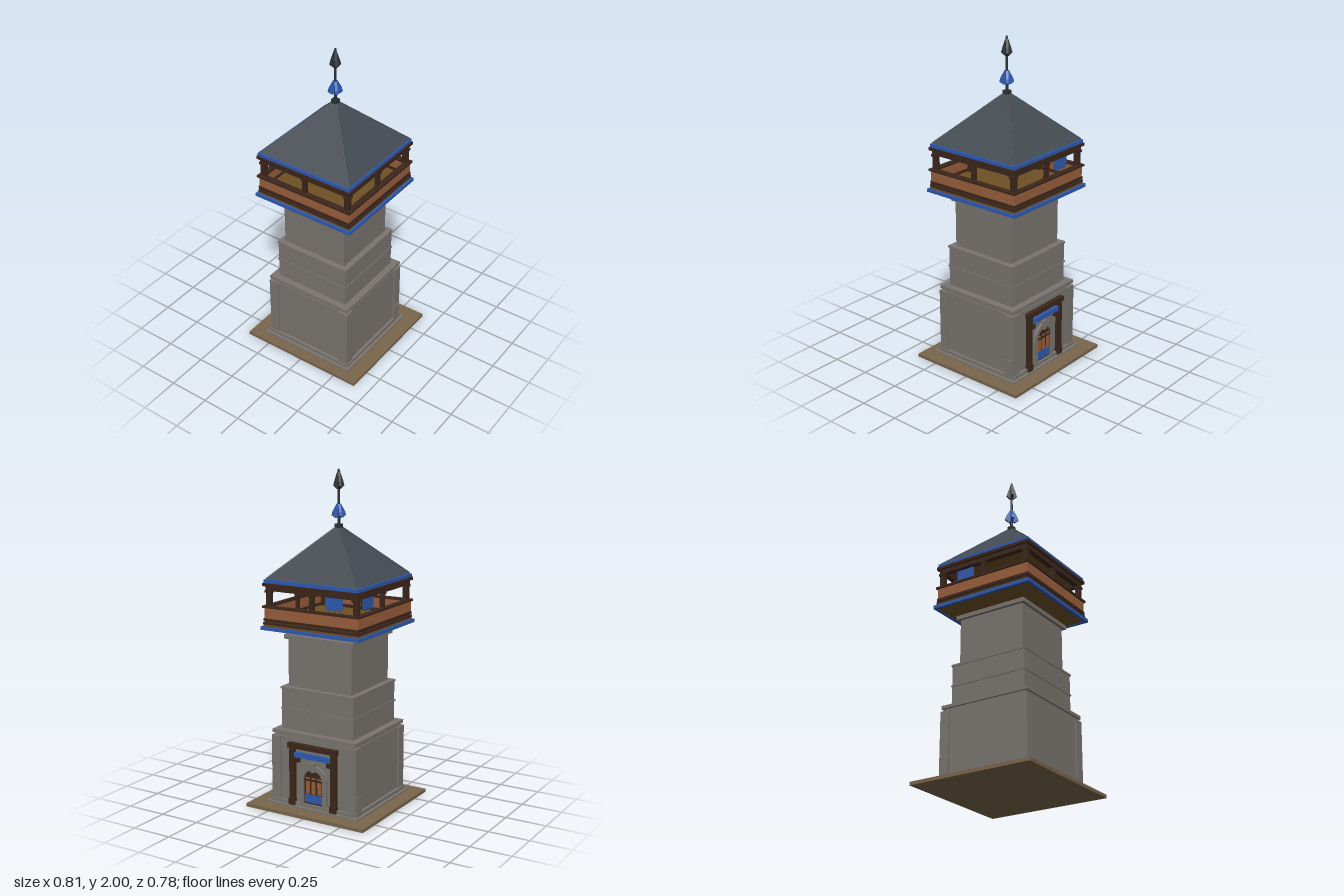
import * as THREE from 'three';

const mat = (name, color, extra = {}) => {
  const m = new THREE.MeshStandardMaterial({ color, ...extra });
  m.name = name;
  return m;
};

export function createModel() {
  const stone = mat('stone', 0x7a7570);
  const timber = mat('dark timber', 0x3d271c);
  const planks = mat('planks', 0x9a5f3c);
  const blue = mat('blue paint', 0x2f5ab0);
  const slate = mat('slate', 0x434a51);
  const iron = mat('iron', 0x2a3031);
  const floorWood = mat('floor wood', 0x6e5024);
  const earth = mat('earth', 0x7a664d);

  const model = new THREE.Group();
  model.name = 'watchtower';
  const tower = new THREE.Group();
  tower.name = 'tower';
  tower.position.z = 0.014;
  model.add(tower);

  const add = (parent, name, geo, m, x = 0, y = 0, z = 0) => {
    const mesh = new THREE.Mesh(geo, m);
    mesh.name = name;
    mesh.position.set(x, y, z);
    parent.add(mesh);
    return mesh;
  };
  // Box given by its bottom and top heights
  const box = (parent, name, m, w, y0, y1, d, x = 0, z = 0) =>
    add(parent, name, new THREE.BoxGeometry(w, y1 - y0, d), m, x, (y0 + y1) / 2, z);
  const tier = (name, m, half, y0, y1) => box(tower, name, m, half * 2, y0, y1, half * 2);
  // Square ring of four bars, without overlaps at the corners
  const ring = (name, m, half, t, y0, y1) => {
    const g = new THREE.Group();
    g.name = name;
    tower.add(g);
    for (const s of [-1, 1]) {
      box(g, name + 'Long', m, half * 2, y0, y1, t, 0, s * (half - t / 2));
      box(g, name + 'Short', m, t, y0, y1, (half - t) * 2, s * (half - t / 2), 0);
    }
  };
  const shape = pts => new THREE.Shape(pts.map(p => new THREE.Vector2(...p)));
  const extrude = (s, depth) => new THREE.ExtrudeGeometry(s, { depth, bevelEnabled: false, curveSegments: 12 });

  // Ground plate
  box(model, 'groundPlate', earth, 0.806, 0, 0.02, 0.78);

  // Stepped stone shaft
  [
    ['plinthFoot', 0.315, 0.02, 0.03], ['plinth', 0.297, 0.03, 0.05],
    ['lowerWall', 0.28, 0.05, 0.44],
    ['lowerCornice', 0.275, 0.44, 0.455], ['lowerCorniceTop', 0.287, 0.455, 0.475],
    ['middleWall', 0.245, 0.475, 0.72], ['middleBand', 0.25, 0.595, 0.605],
    ['middleCornice', 0.25, 0.72, 0.732],
    ['upperWall', 0.215, 0.732, 1.02], ['upperCap', 0.234, 1.02, 1.045],
  ].forEach(([n, half, y0, y1]) => tier(n, stone, half, y0, y1));
  for (const sx of [-1, 1]) {
    for (const sz of [-1, 1])
      box(tower, 'cornerPilaster', stone, 0.06, 0.05, 0.44, 0.06, sx * 0.26, sz * 0.26);
    box(tower, 'cornerBlock', stone, 0.06, 0.05, 0.15, 0.055, sx * 0.267, -0.254);
  }

  // Doorway on the back wall
  const door = new THREE.Group();
  door.name = 'doorway';
  door.rotation.y = Math.PI;
  door.position.z = -0.28;
  tower.add(door);
  for (const s of [-1, 1]) {
    box(door, 'doorPost', timber, 0.036, 0.03, 0.385, 0.024, s * 0.142, 0.01);
    box(door, 'doorPostFoot', timber, 0.044, 0.03, 0.07, 0.03, s * 0.142, 0.012);
    box(door, 'archPier', stone, 0.028, 0.05, 0.2, 0.016, s * 0.078, 0.008);
    box(door, 'lintelBracket', timber, 0.03, 0.3, 0.33, 0.022, s * 0.11, 0.01);
  }
  box(door, 'doorLintel', timber, 0.336, 0.385, 0.415, 0.034, 0, 0.012);
  box(door, 'blueLintel', blue, 0.248, 0.33, 0.36, 0.022, 0, 0.011);
  const arch = new THREE.Shape();
  arch.absarc(0, 0, 0.094, 0, Math.PI, false);
  arch.absarc(0, 0, 0.064, Math.PI, 0, true);
  add(door, 'stoneArch', extrude(arch, 0.016), stone, 0, 0.2, 0);
  box(door, 'keystone', stone, 0.03, 0.255, 0.312, 0.022, 0, 0.011);
  const leaf = new THREE.Shape();
  leaf.moveTo(-0.064, 0.05);
  leaf.lineTo(0.064, 0.05);
  leaf.lineTo(0.064, 0.2);
  leaf.absarc(0, 0.2, 0.064, 0, Math.PI, false);
  add(door, 'doorLeaf', extrude(leaf, 0.004), timber);
  for (const x of [-0.04, 0, 0.04])
    box(door, 'doorPlank', planks, 0.026, 0.115, 0.215, 0.008, x, 0.004);
  box(door, 'doorPanel', blue, 0.12, 0.06, 0.11, 0.008, 0, 0.005);
  box(door, 'doorRail', timber, 0.126, 0.195, 0.207, 0.01, 0, 0.006);

  // Lookout deck and parapet
  ring('deckTrim', blue, 0.332, 0.02, 1.08, 1.1);
  tier('deckUnderside', floorWood, 0.312, 1.082, 1.1);
  tier('deck', floorWood, 0.318, 1.1, 1.112);
  ring('deckEdge', timber, 0.32, 0.02, 1.112, 1.124);
  tier('deckFloor', floorWood, 0.3, 1.112, 1.126);
  ring('parapetSill', timber, 0.318, 0.024, 1.13, 1.147);
  ring('parapetBoards', planks, 0.314, 0.016, 1.147, 1.212);
  ring('parapetRail', timber, 0.324, 0.036, 1.21, 1.222);

  // Posts with small capitals, at the corners and the middle of each side
  for (const i of [-1, 0, 1]) for (const k of [-1, 0, 1]) {
    if (!i && !k) continue;
    const w = i && k ? 0.03 : 0.024;
    box(tower, 'post', timber, w, 1.126, 1.32, w, i * 0.292, k * 0.292);
    box(tower, 'postCapital', timber, w + 0.01, 1.298, 1.312, w + 0.01, i * 0.292, k * 0.292);
  }
  ring('topBeam', timber, 0.308, 0.034, 1.31, 1.337);
  ring('topPlate', timber, 0.322, 0.05, 1.337, 1.355);
  ring('eaveTrim', blue, 0.316, 0.03, 1.355, 1.375);
  tier('ceiling', floorWood, 0.287, 1.345, 1.372);

  // Swallow-tailed banners hung between the posts
  const bannerShape = shape([[-0.057, 0], [-0.057, -0.07], [-0.035, -0.088], [-0.018, -0.074],
    [0, -0.088], [0.018, -0.074], [0.035, -0.088], [0.057, -0.07], [0.057, 0]].reverse());
  const bannerGeo = extrude(bannerShape, 0.008);
  add(tower, 'backBanner', bannerGeo, blue, -0.14, 1.315, -0.286);
  add(tower, 'sideBanner', bannerGeo, blue, -0.282, 1.315, -0.14).rotation.y = Math.PI / 2;

  // Pyramid roof with slim hip ridges
  const roof = new THREE.ConeGeometry(0.309 * Math.SQRT2, 0.302, 4).toNonIndexed();
  roof.rotateY(Math.PI / 4);
  roof.computeVertexNormals();
  add(tower, 'roof', roof, slate, 0, 1.378 + 0.151, 0);
  for (const sx of [-1, 1]) for (const sz of [-1, 1]) {
    const path = new THREE.LineCurve3(
      new THREE.Vector3(sx * 0.305, 1.381, sz * 0.305), new THREE.Vector3(0, 1.679, 0));
    add(tower, 'hipRidge', new THREE.TubeGeometry(path, 1, 0.004, 6), slate);
  }

  // Finial: collar, rod, and crossed blue and iron plates
  tier('finialCollar', iron, 0.018, 1.66, 1.685);
  add(tower, 'finialRod', new THREE.CylinderGeometry(0.007, 0.009, 0.225, 8), iron, 0, 1.79, 0);
  const crossed = (name, m, pts, t) => {
    const s = shape([...pts, ...pts.slice().reverse().map(([x, y]) => [-x, y])]);
    const geo = extrude(s, t).translate(0, 0, -t / 2);
    for (const a of [1, -1]) add(tower, name, geo, m).rotation.y = a * Math.PI / 4;
  };
  crossed('finialOrnament', blue,
    [[0.022, 1.72], [0.042, 1.735], [0.036, 1.757], [0.012, 1.8]], 0.014);
  crossed('finialSpear', iron,
    [[0.011, 1.886], [0.032, 1.905], [0.024, 1.935], [0.002, 2.0]], 0.014);
  return model;
}
